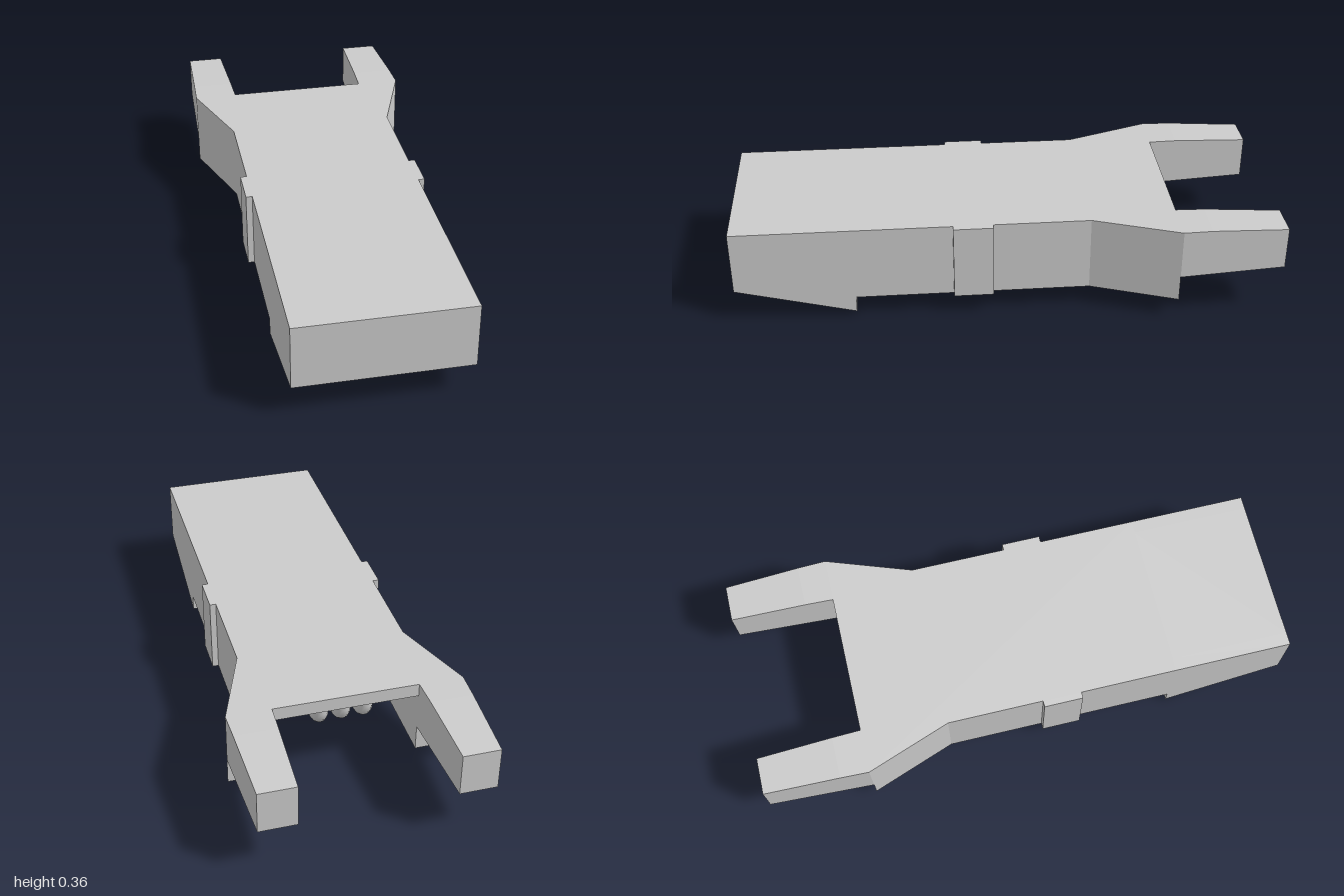
import * as THREE from 'three';

const mat = new THREE.MeshStandardMaterial({ color: 0xcccccc, flatShading: true });
const smooth = new THREE.MeshStandardMaterial({ color: 0xcccccc });

const TOP = 0.363, ROOF = 0.313, BOTTOM = 0.077;
const HALF = 0.31, INNER = 0.262;   // outer and inner half width of the shell
const REAR = -0.615, BLOCK = 0.56;  // rear end of the shell, back of the front block
const slopeY = z => 0.125 - (1 - z) * 0.25;

// Side profile of [z, y] points, extruded along x from x0 to x1
function fromSide(points, x0, x1) {
  const shape = new THREE.Shape(points.map(([z, y]) => new THREE.Vector2(-z, y)));
  return new THREE.ExtrudeGeometry(shape, { depth: x1 - x0, bevelEnabled: false })
    .rotateY(Math.PI / 2).translate(x0, 0, 0);
}

// Plan outline of [x, z] points, extruded upwards from y0 to y1
function fromPlan(points, y0, y1) {
  const shape = new THREE.Shape(points.map(([x, z]) => new THREE.Vector2(x, -z)));
  return new THREE.ExtrudeGeometry(shape, { depth: y1 - y0, bevelEnabled: false })
    .rotateX(-Math.PI / 2).translate(0, y0, 0);
}

export function createModel() {
  const model = new THREE.Group();
  const add = (name, geometry, material = mat) => {
    const mesh = new THREE.Mesh(geometry, material);
    mesh.name = name;
    model.add(mesh);
    return mesh;
  };

  // Front block with a sloping underside; its middle has a shallow recess
  const plain = [[BLOCK, TOP], [1, TOP], [1, slopeY(1)], [BLOCK, slopeY(BLOCK)]];
  const depth = 0.014;
  const recessed = [
    [BLOCK, TOP], [1, TOP], [1, slopeY(1)],
    [0.955, slopeY(0.955)], [0.952, slopeY(0.952) + depth],
    [0.782, slopeY(0.782) + depth], [0.785, slopeY(0.785)],
    [BLOCK, slopeY(BLOCK)],
  ];
  add('frontBlock', fromSide(recessed, -INNER, INNER));

  // Roof over the cable channel, flaring out at the rear
  add('roof', fromPlan([
    [-HALF, BLOCK], [HALF, BLOCK], [HALF, -0.3], [0.423, REAR],
    [-0.423, REAR], [-HALF, -0.3],
  ], ROOF, TOP));

  for (const s of [1, -1]) {
    const [x0, x1] = s > 0 ? [INNER, HALF] : [-HALF, -INNER];
    add('frontBlockSide', fromSide(plain, x0, x1));

    // Channel wall, thickening towards the rear
    add('sideWall', fromPlan([
      [s * INNER, BLOCK], [s * HALF, BLOCK], [s * HALF, -0.3],
      [s * 0.423, REAR], [s * INNER, REAR],
    ], BOTTOM, ROOF));

    // Raised rib on the flank
    const rib = new THREE.BoxGeometry(0.024, TOP - BOTTOM, 0.145);
    add('sideRib', rib).position.set(s * 0.321, (TOP + BOTTOM) / 2, 0.128);

    // Rear arm, narrowing towards its tip
    const arm = fromSide([
      [REAR, TOP], [-0.72, TOP], [-1, 0.35], [-1, 0.19], [REAR, 0.175],
    ], 0, 1);
    const p = arm.attributes.position;
    for (let i = 0; i < p.count; i++) {
      const t = (REAR - p.getZ(i)) / (REAR + 1);
      const inner = INNER + 0.013 * t, outer = 0.423 - 0.013 * t;
      const atOuter = (p.getX(i) > 0.5) === (s > 0);
      p.setX(i, s * (atOuter ? outer : inner));
    }
    arm.computeVertexNormals();
    add('rearArm', arm);
  }

  // Three rows of contact pins under the slope
  const pinGeometry = new THREE.BoxGeometry(0.047, 0.034, 0.03);
  const tilt = Math.atan(0.25);
  for (const z of [0.752, 0.69, 0.628]) {
    for (let i = -3; i <= 3; i++) {
      const pin = add('contactPin', pinGeometry);
      pin.position.set(i * 0.079, slopeY(z) - 0.012, z);
      pin.rotation.x = -tilt;
    }
  }

  // Cables along the channel, bent up into the roof at both ends
  const cables = [[0.08, 0.045, 0.225], [0, 0.005, 0.265], [-0.08, -0.035, 0.225]];
  for (const [rearX, frontX, frontY] of cables) {
    const path = new THREE.CatmullRomCurve3([
      [rearX, 0.33, -0.575], [rearX, 0.275, -0.57], [rearX, 0.244, -0.535],
      [rearX, 0.242, -0.4], [rearX, 0.242, -0.1], [frontX, frontY, 0.15],
      [frontX, frontY, 0.42], [frontX, frontY + 0.006, 0.47],
      [frontX, frontY + 0.04, 0.5], [frontX, 0.33, 0.505],
    ].map(v => new THREE.Vector3(...v)));
    add('cable', new THREE.TubeGeometry(path, 64, 0.027, 14), smooth);
  }

  return model;
}
